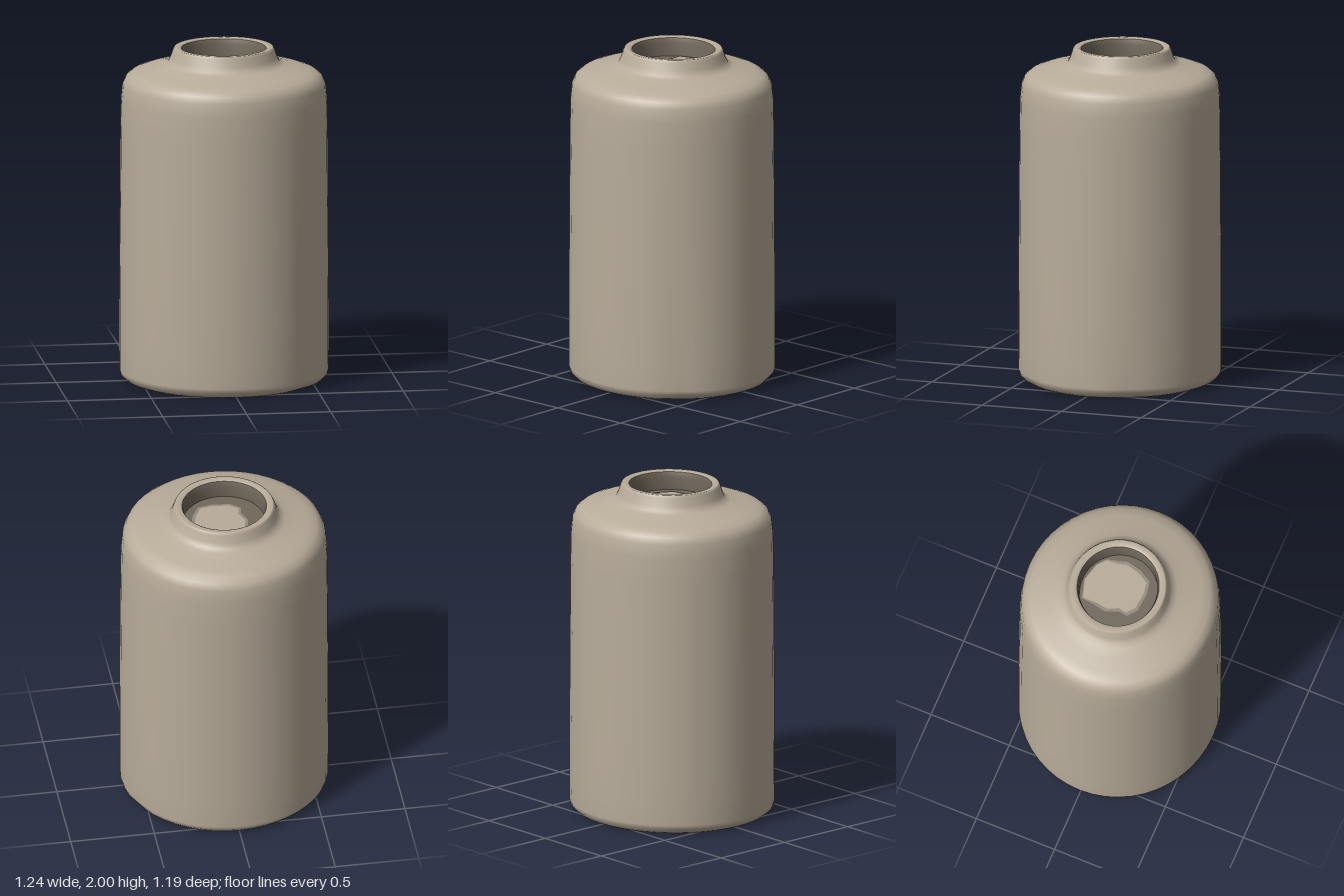
import * as THREE from 'three';
import { mergeVertices } from 'three/addons/utils/BufferGeometryUtils.js';

const material = (name, color) => {
  const m = new THREE.MeshStandardMaterial({ color });
  m.name = name;
  return m;
};

const DEPTH = 0.965; // the jar is slightly oval
const NECK_Z = -0.012; // the neck sits slightly behind the centre
const FLOOR_Y = 1.885;

// shallow vertical dents in the wall: direction, width, height, depth
const dents = [
  { angle: 0.8, width: 0.13, height: 1.4, depth: 0.022 },
  { angle: 2.02, width: 0.1, height: 0.6, depth: 0.02 },
];

function turned(profile) {
  const geo = new THREE.LatheGeometry(profile.map(([r, y]) => new THREE.Vector2(r, y)), 48);
  const p = geo.attributes.position;
  for (let i = 0; i < p.count; i++) {
    const x = p.getX(i), y = p.getY(i), z = p.getZ(i);
    const a = Math.atan2(x, z);
    let k = 1;
    if (Math.hypot(x, z) > 0.5) {
      for (const d of dents) {
        const fade = Math.max(0, 1 - y / d.height);
        k -= d.depth * fade * Math.exp(-(((a - d.angle) / d.width) ** 2));
      }
    }
    const shift = NECK_Z * THREE.MathUtils.smoothstep(y, 1.85, 1.91);
    p.setXYZ(i, x * k, y, z * k * DEPTH + shift);
  }
  geo.deleteAttribute('uv');
  geo.deleteAttribute('normal');
  const merged = mergeVertices(geo, 1e-4);
  merged.computeVertexNormals();
  return merged;
}

export function createModel() {
  const group = new THREE.Group();
  const clay = material('clay', 0xb8ac9a);
  const shade = material('dark clay', 0x71685b);
  const mid = material('mid clay', 0x948b7c);
  const add = (name, geo, mat) => {
    const mesh = new THREE.Mesh(geo, mat);
    mesh.name = name;
    group.add(mesh);
    return mesh;
  };

  // base, wall, shoulder and neck
  add('body', turned([
    [0, 0.025], [0.3, 0.022], [0.52, 0.01], [0.55, 0.004], [0.565, 0], [0.59, 0.012],
    [0.612, 0.035], [0.618, 0.06], [0.619, 0.2], [0.619, 0.4], [0.618, 0.7], [0.616, 1.0],
    [0.614, 1.3], [0.612, 1.55], [0.609, 1.7], [0.6, 1.78], [0.582, 1.82], [0.55, 1.845],
    [0.5, 1.862], [0.42, 1.88], [0.36, 1.897], [0.33, 1.91], [0.315, 1.94], [0.3, 1.985],
    [0.293, 1.998], [0.288, 2], [0.262, 2], [0.25, 1.993],
  ]), clay);

  // inside of the mouth
  add('mouthWall', turned([[0.25, 1.993], [0.24, 1.96], [0.24, FLOOR_Y]]), shade);
  add('mouthFloor', turned([[0.24, FLOOR_Y], [0, FLOOR_Y]]), shade);

  // pale uneven patch with a softer border on the floor of the mouth
  const outline = [
    [-0.11, 0.19], [0, 0.225], [0.11, 0.195], [0.16, 0.15], [0.165, 0.08], [0.18, 0.03],
    [0.16, -0.05], [0.12, -0.12], [0.05, -0.13], [-0.05, -0.12], [-0.1, -0.08],
    [-0.09, -0.03], [-0.12, 0.03], [-0.11, 0.1],
  ];
  const patch = (name, grow, y, mat) => {
    const pts = outline.map(([x, v]) => {
      const l = Math.hypot(x, v);
      const r = Math.min(l + grow, 0.228) / l;
      return new THREE.Vector2(x * r, v * r);
    });
    const geo = new THREE.ShapeGeometry(new THREE.Shape(pts));
    geo.rotateX(-Math.PI / 2);
    add(name, geo, mat).position.y = y;
  };
  patch('floorPatchBorder', 0.02, FLOOR_Y + 0.003, mid);
  patch('floorPatch', 0, FLOOR_Y + 0.006, clay);

  return group;
}
